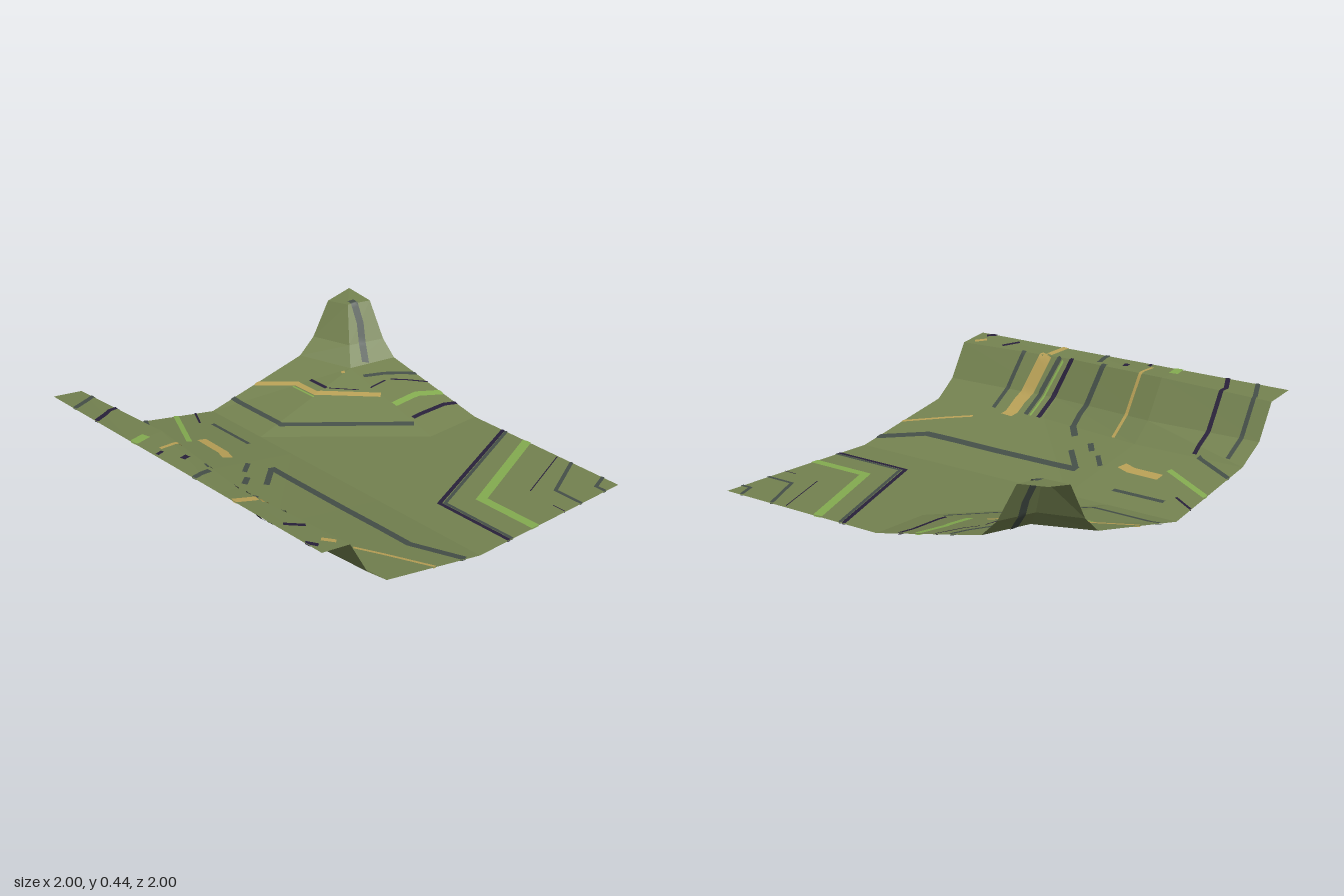
import * as THREE from 'three';

const mat = (name, color) =>
  new THREE.MeshStandardMaterial({ name, color, side: THREE.DoubleSide });

// Contour lines of the land, [x, y, z]; neighbouring lines are joined by faces.
const frontXs = [-1, -0.35, 0.3, 1];
const frontRow = (ys, zs) => frontXs.map((x, i) => [x, ys[i], zs[i]]);
const frontRows = [
  frontRow([0, 0, 0, 0], [0, 0, 0, 0]),
  frontRow([0.125, 0.12, 0.125, 0.125], [0.58, 0.585, 0.66, 0.61]),
  frontRow([0.22, 0.22, 0.215, 0.22], [0.73, 0.7, 0.77, 0.73]),
  frontRow([0.405, 0.425, 0.41, 0.405], [0.835, 0.82, 0.885, 0.835]),
  frontRow([0.43, 0.43, 0.43, 0.43], [1, 1, 1, 1]),
];
const fold = [[-1, 0, 0], [-0.6, 0, 0], [0, 0, -0.67], [0, 0, -1]];
const cornerRow = (a, b, c) => [a, b, b, c];
const cornerRows = [
  fold,
  cornerRow([-1, 0.13, -0.63], [-0.7, 0.125, -0.735], [-0.63, 0.13, -1]),
  cornerRow([-1, 0.215, -0.73], [-0.78, 0.215, -0.8], [-0.72, 0.215, -1]),
  cornerRow([-1, 0.4, -0.84], [-0.87, 0.41, -0.87], [-0.83, 0.41, -1]),
  cornerRow([-1, 0.43, -1], [-1, 0.43, -1], [-1, 0.43, -1]),
];
const flatRows = [fold.slice(1), [[1, 0, 0], [1, 0, -1], [1, 0, -1]]];

// Signed area seen from above
const area = (a, b, c) => (b[2] - a[2]) * (c[0] - a[0]) - (b[0] - a[0]) * (c[2] - a[2]);

function loft(rows) {
  const tris = [];
  const add = (a, b, c) => {
    const s = area(a, b, c);
    if (Math.abs(s) > 1e-6) tris.push(s > 0 ? [a, b, c] : [a, c, b]);
  };
  for (let r = 0; r + 1 < rows.length; r++) {
    for (let i = 0; i + 1 < rows[r].length; i++) {
      const [a, b, c, d] = [rows[r][i], rows[r][i + 1], rows[r + 1][i + 1], rows[r + 1][i]];
      add(a, b, c);
      add(a, c, d);
    }
  }
  return tris;
}

const regions = {
  frontSlopeAndBank: loft(frontRows),
  cornerHill: loft(cornerRows),
  flatGround: loft(flatRows),
};
const land = Object.values(regions).flat();

function geometryFrom(points, index) {
  const g = new THREE.BufferGeometry();
  g.setAttribute('position', new THREE.Float32BufferAttribute(points.flat(), 3));
  if (index) g.setIndex(index);
  g.computeVertexNormals();
  return g;
}

// Point lying just above (side 1) or below (side -1) the land
function drape(x, z, side) {
  x = THREE.MathUtils.clamp(x, -1, 1);
  z = THREE.MathUtils.clamp(z, -1, 1);
  const p = [x, 0, z];
  for (const [a, b, c] of land) {
    const s = area(a, b, c);
    const u = area(p, b, c) / s, v = area(a, p, c) / s, w = 1 - u - v;
    if (Math.min(u, v, w) < -1e-5) continue;
    const n = new THREE.Vector3(...b).sub(new THREE.Vector3(...a))
      .cross(new THREE.Vector3(...c).sub(new THREE.Vector3(...a))).normalize();
    return [x, u * a[1] + v * b[1] + w * c[1] + side * 0.004 / Math.abs(n.y), z];
  }
  return [x, 0.004 * side, z];
}

// Flat ribbon with mitred bends, following the land on both of its sides
function ribbon(path, width) {
  const pts = path.map(([x, z]) => new THREE.Vector2(x, z));
  const dirs = pts.slice(1).map((p, i) => p.clone().sub(pts[i]).normalize());
  const across = pts.map((p, i) => {
    const a = dirs[Math.max(i - 1, 0)], b = dirs[Math.min(i, dirs.length - 1)];
    const t = a.clone().add(b).normalize();
    return new THREE.Vector2(-t.y, t.x).multiplyScalar(width / 2 / Math.max(t.dot(a), 0.4));
  });
  const points = [], index = [];
  for (const side of [1, -1]) {
    const first = points.length;
    dirs.forEach((d, i) => {
      const n = Math.ceil(pts[i].distanceTo(pts[i + 1]) / 0.012);
      for (let k = i ? 1 : 0; k <= n; k++) {
        const c = pts[i].clone().lerp(pts[i + 1], k / n);
        const o = across[i].clone().lerp(across[i + 1], k / n);
        for (const s of [-1, 0, 1]) points.push(drape(c.x + o.x * s, c.y + o.y * s, side));
      }
    });
    for (let q = first; q + 5 < points.length; q += 3) {
      for (const j of [q, q + 1]) {
        if (side > 0) index.push(j, j + 1, j + 3, j + 1, j + 4, j + 3);
        else index.push(j, j + 3, j + 1, j + 1, j + 3, j + 4);
      }
    }
  }
  return geometryFrom(points, index);
}

// Painted lines: [width, [x, z], [x, z], ...]
const markings = {
  slate: [
    [0.03, [-1, -0.14], [-0.6, -0.14], [-0.13, -0.67]],
    [0.025, [-0.84, 0.13], [-0.54, 0.13]],
    [0.048, [-0.24, 0.235], [0.76, 0.235], [1, 0.1]],
    [0.03, [-0.22, 0.25], [-0.08, 0.4]],
    [0.025, [-0.33, 0.31], [-0.25, 0.4]],
    [0.03, [-0.19, 0.43], [-0.13, 0.5]],
    [0.035, [0, 0.54], [0.08, 0.63], [0.085, 0.7], [0.05, 0.875]],
    [0.025, [-1, 0.45], [-0.74, 0.58]],
    [0.025, [-0.9, 0.6], [-0.9, 0.84], [-0.82, 1]],
    [0.028, [0.415, 0.65], [0.4, 0.77], [0.355, 0.88]],
    [0.025, [0.63, 0.64], [0.62, 0.74], [0.59, 0.87]],
    [0.03, [0.1, 0.89], [0.12, 1]],
    [0.018, [0.233, -1], [0.548, -0.222], [1, -0.222]],
    [0.02, [0.69, -1], [0.83, -0.72], [1, -0.72]],
    [0.02, [0.9, -1], [0.94, -0.9], [1, -0.9]],
    [0.025, [-0.45, -1], [-0.55, -0.85], [-0.6, -0.74]],
    [0.04, [-0.89, -0.91], [-0.8, -0.9], [-0.68, -0.83]],
  ],
  navy: [
    [0.022, [0.21, -1], [0.53, -0.2], [1, -0.2]],
    [0.012, [-1, 0.12], [-0.87, 0.19]],
    [0.025, [-0.71, 0.59], [-0.71, 0.87], [-0.64, 1]],
    [0.028, [0.33, 0.65], [0.315, 0.77], [0.275, 0.885]],
    [0.03, [-0.07, 0.885], [-0.06, 0.925]],
    [0.025, [0.76, 0.88], [0.7, 0.96]],
    [0.03, [0.89, 1], [0.94, 0.965]],
    [0.02, [-0.18, 0.95], [-0.17, 0.99]],
    [0.006, [0.6, -0.99], [0.75, -0.62]],
    [0.006, [0.92, -0.6], [1, -0.6]],
    [0.025, [-0.14, -1], [-0.165, -0.93], [-0.17, -0.7]],
    [0.01, [-0.36, -1], [-0.49, -0.84]],
    [0.01, [-0.5, -0.81], [-0.5, -0.7]],
    [0.02, [-0.79, -0.52], [-0.66, -0.52]],
    [0.006, [-0.65, -0.53], [-0.53, -0.64]],
  ],
  gold: [
    [0.035, [-1, -0.3], [-0.82, -0.45], [-0.67, -0.45], [-0.42, -0.7]],
    [0.055, [-0.68, 0.33], [-0.5, 0.335], [-0.43, 0.36]],
    [0.02, [0.67, 0.51], [1, 0.3]],
    [0.02, [-0.2, 0.6], [-0.205, 0.78], [-0.21, 0.94]],
    [0.075, [0.51, 0.6], [0.5, 0.71], [0.445, 0.88]],
    [0.04, [0.435, 0.885], [0.405, 1]],
    [0.03, [0.9, 0.915], [0.95, 0.87]],
    [0.02, [-0.71, -0.685], [-0.69, -0.675]],
  ],
  green: [
    [0.05, [0.38, -1], [0.64, -0.385], [1, -0.385]],
    [0.04, [-0.25, -1], [-0.31, -0.87], [-0.315, -0.7]],
    [0.03, [-1, 0.25], [-0.68, 0.41]],
    [0.05, [-0.36, 0.91], [-0.34, 1]],
    [0.012, [0.385, 0.65], [0.37, 0.77], [0.33, 0.87]],
    [0.01, [-0.82, -0.42], [-0.65, -0.42]],
  ],
};

export function createModel() {
  const model = new THREE.Group();
  model.name = 'terrainTile';

  // Land sheet
  const olive = mat('olive', 0x748250);
  olive.flatShading = true;
  for (const [name, tris] of Object.entries(regions)) {
    const mesh = new THREE.Mesh(geometryFrom(tris.flat()), olive);
    mesh.name = name;
    model.add(mesh);
  }

  // Painted lines, grouped by colour
  const paints = { slate: 0x454f48, navy: 0x28203a, gold: 0xb8a056, green: 0x84ac50 };
  for (const [colour, lines] of Object.entries(markings)) {
    const paint = mat(colour, paints[colour]);
    const group = new THREE.Group();
    group.name = colour + 'Lines';
    lines.forEach(([width, ...path], i) => {
      const mesh = new THREE.Mesh(ribbon(path, width), paint);
      mesh.name = colour + 'Line' + (i + 1);
      group.add(mesh);
    });
    model.add(group);
  }
  return model;
}
